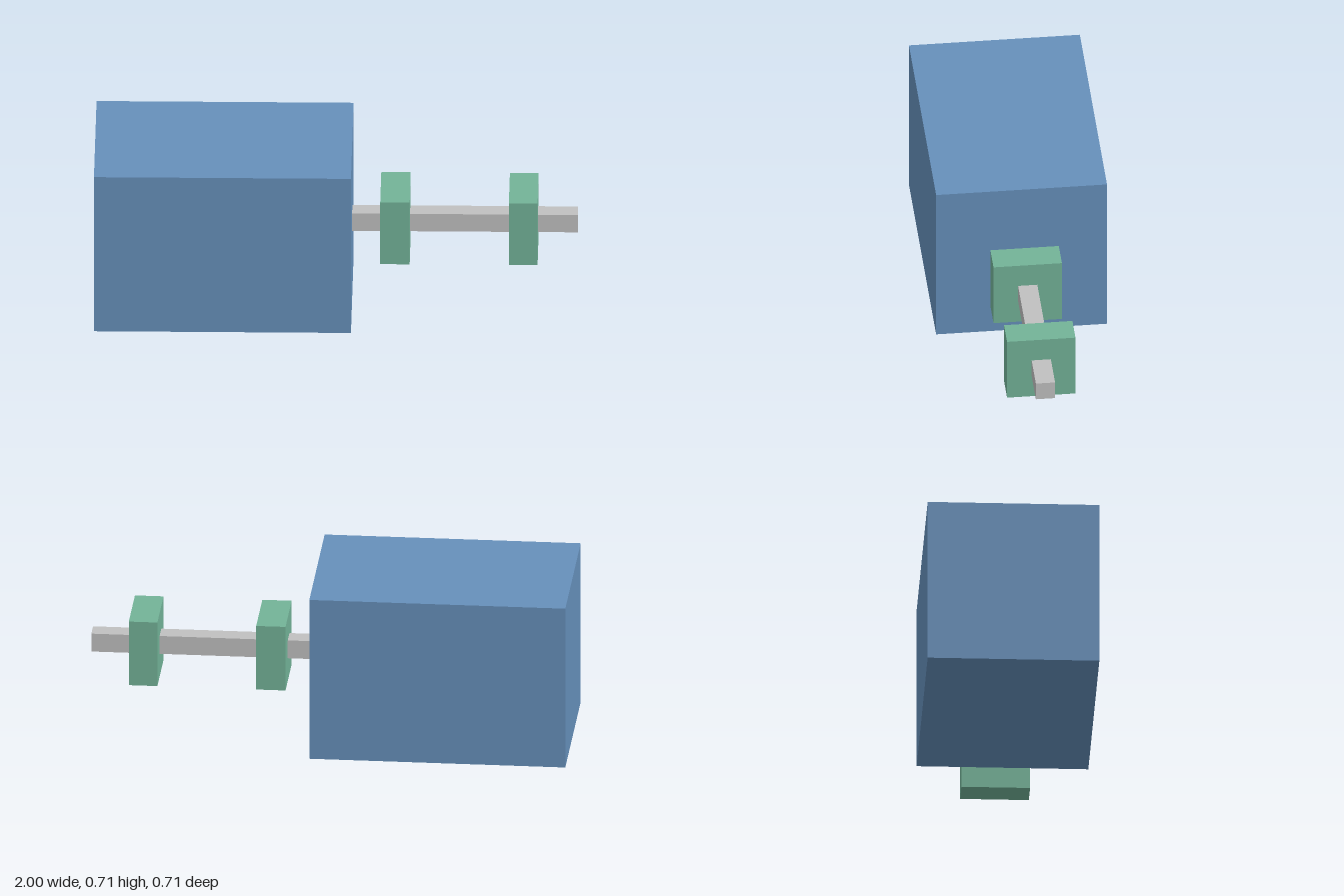
import * as THREE from 'three';

export function createModel() {
  const model = new THREE.Group();
  const makeMaterial = (name, color) => {
    const material = new THREE.MeshStandardMaterial({ color });
    material.name = name;
    return material;
  };
  const blue = makeMaterial('blue', 0x6690bb);
  const green = makeMaterial('green', 0x73b398);
  const grey = makeMaterial('grey', 0xc0c0c0);

  const axisY = 0.356; // height of the shared centre line

  // Square block spanning x0..x1 on the centre line
  const addBlock = (name, x0, x1, size, material) => {
    const mesh = new THREE.Mesh(new THREE.BoxGeometry(x1 - x0, size, size), material);
    mesh.name = name;
    mesh.position.set((x0 + x1) / 2, axisY, 0);
    model.add(mesh);
  };

  // Main housing
  addBlock('body', -1, 0.065, 0.712, blue);

  // Shaft sections, interrupted by the two collars
  const collars = [[0.183, 0.305], [0.716, 0.835]];
  addBlock('shaftInner', 0.065, collars[0][0], 0.08, grey);
  addBlock('shaftMiddle', collars[0][1], collars[1][0], 0.08, grey);
  addBlock('shaftOuter', collars[1][1], 1, 0.08, grey);

  // Collars
  addBlock('innerCollar', ...collars[0], 0.285, green);
  addBlock('outerCollar', ...collars[1], 0.285, green);

  return model;
}
